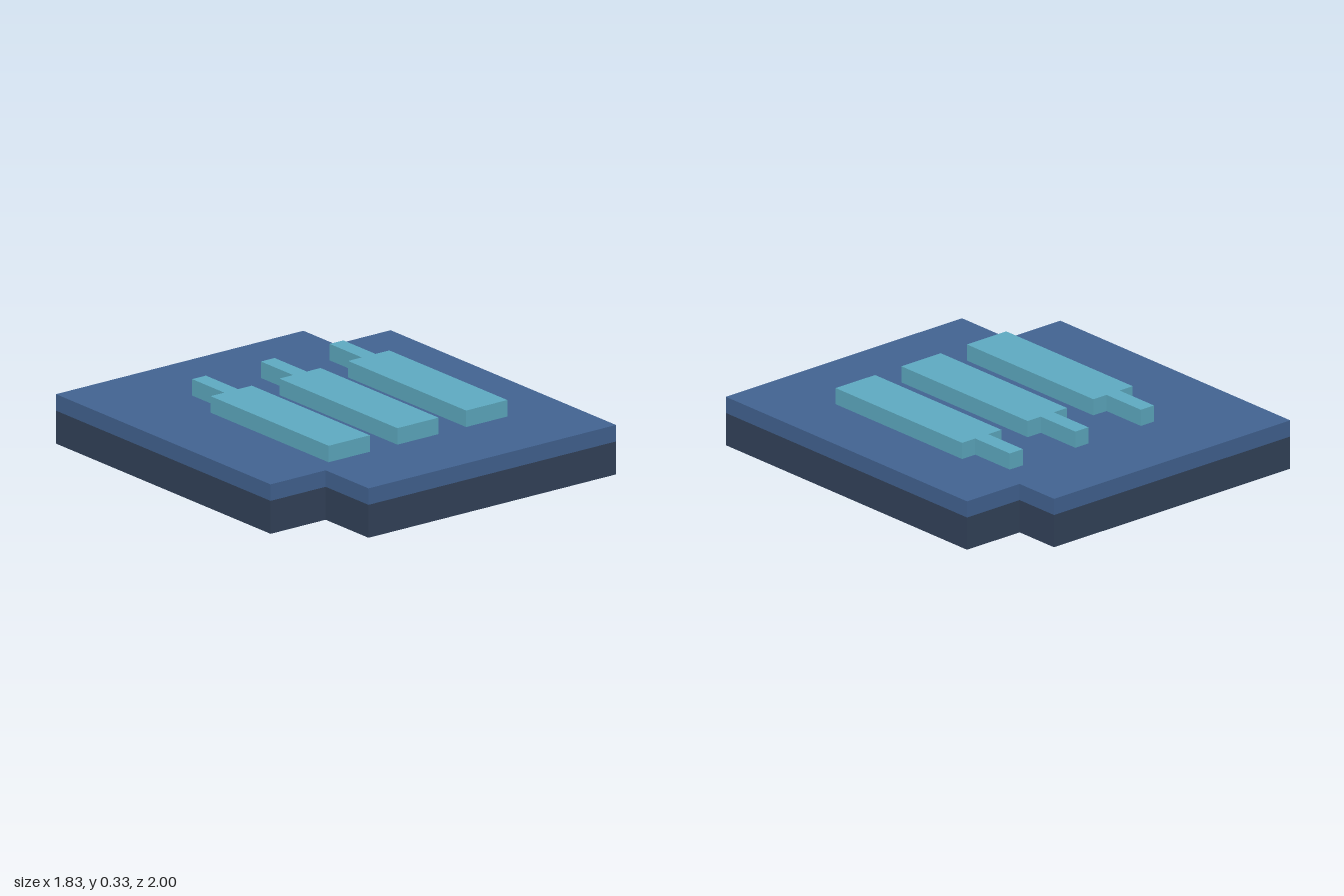
import * as THREE from 'three';

const U = 1 / 12; // modelling unit: every dimension is a whole number of these

// Extrude an outline of [x, z] points upwards from y0 to y1
function slab(name, outline, y0, y1, color) {
  const shape = new THREE.Shape(outline.map(([x, z]) => new THREE.Vector2(x * U, -z * U)));
  const geometry = new THREE.ExtrudeGeometry(shape, { depth: (y1 - y0) * U, bevelEnabled: false });
  geometry.rotateX(-Math.PI / 2);
  geometry.translate(0, y0 * U, 0);
  const mesh = new THREE.Mesh(geometry, new THREE.MeshStandardMaterial({ color }));
  mesh.name = name;
  return mesh;
}

export function createModel() {
  const model = new THREE.Group();
  model.name = 'notchedPlate';

  // Plate outline with two opposite corners cut out
  const plate = [
    [-7, 12], [11, 12], [11, -9], [7, -9], [7, -12], [-11, -12], [-11, 8], [-7, 8],
  ];
  model.add(slab('lowerPlate', plate, 0, 2, 0x34445c));
  model.add(slab('upperPlate', plate, 2, 3, 0x436594));

  // Three raised bars, each with a narrow neck towards the back
  const bar = [
    [0, 7], [3, 7], [3, -4], [2, -4], [2, -7], [1, -7], [1, -4], [0, -4],
  ];
  ['rightBar', 'middleBar', 'leftBar'].forEach((name, i) => {
    const x0 = -6 + i * 5;
    model.add(slab(name, bar.map(([x, z]) => [x + x0, z]), 3, 4, 0x5fadc4));
  });

  return model;
}
